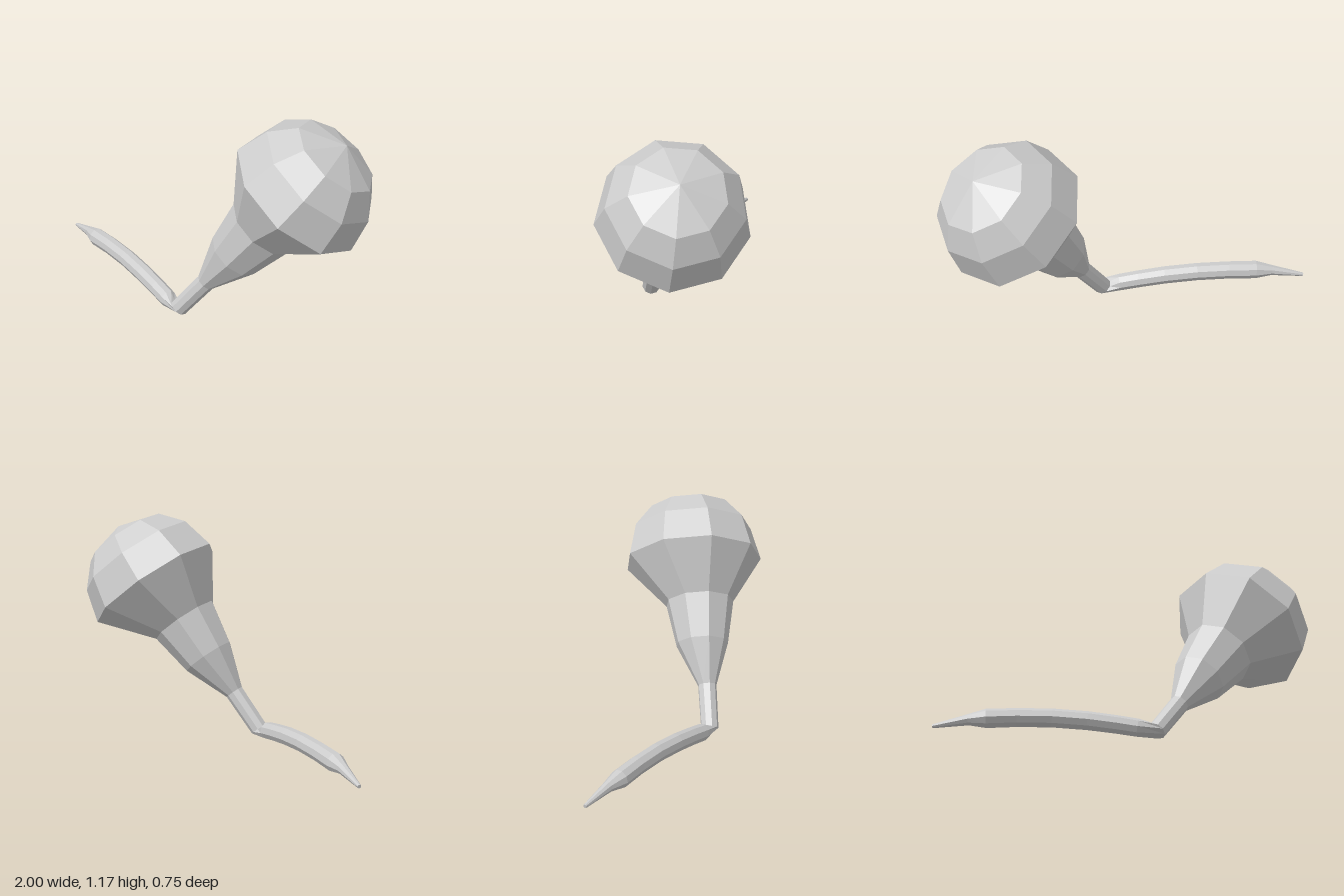
import * as THREE from 'three';

const SIDES = 9;
const V = (x, y, z) => new THREE.Vector3(x, y, z);
const material = new THREE.MeshStandardMaterial({ color: 0xcccccc, flatShading: true });

// Nine-sided ring around a centre; its first vertex lies on the side nearest "toward".
function ring(centre, normal, toward, radius) {
  const n = normal.clone().normalize();
  const u = toward.clone().addScaledVector(n, -toward.dot(n)).normalize();
  const v = n.clone().cross(u);
  return Array.from({ length: SIDES }, (_, j) => {
    const a = (j / SIDES) * Math.PI * 2;
    return centre.clone()
      .addScaledVector(u, radius * Math.cos(a))
      .addScaledVector(v, radius * Math.sin(a));
  });
}

// Skin consecutive rings; rings of zero radius become fans.
function loft(name, rings) {
  const pos = [];
  const tri = (a, b, c) => {
    const area = b.clone().sub(a).cross(c.clone().sub(a)).length();
    if (area > 1e-9) for (const p of [a, b, c]) pos.push(p.x, p.y, p.z);
  };
  for (let i = 0; i < rings.length - 1; i++) {
    for (let j = 0; j < SIDES; j++) {
      const k = (j + 1) % SIDES;
      const lo = rings[i], hi = rings[i + 1];
      tri(lo[j], lo[k], hi[k]);
      tri(lo[j], hi[k], hi[j]);
    }
  }
  const geometry = new THREE.BufferGeometry();
  geometry.setAttribute('position', new THREE.Float32BufferAttribute(pos, 3));
  geometry.computeVertexNormals();
  const mesh = new THREE.Mesh(geometry, material);
  mesh.name = name;
  return mesh;
}

export function createModel() {
  const group = new THREE.Group();
  group.name = 'bulbWithRoot';

  // Leaning axis of the bulb, and its underside direction
  const axis = V(0.605, 0.786, -0.126).normalize();
  const under = V(0.301, -0.242, 0);
  const joint = ring(V(0.015, 0.04, 0.16), axis, under, 0.048);

  // Root: arched tube, pinched to a thin tip: [x, y, z, radius]
  const path = [
    [-0.995, 0.055, -0.342, 0],
    [-0.995, 0.055, -0.342, 0.01],
    [-0.84, 0.088, -0.255, 0.029],
    [-0.76, 0.094, -0.21, 0.05],
    [-0.62, 0.102, -0.145, 0.049],
    [-0.46, 0.102, -0.068, 0.049],
    [-0.3, 0.089, 0.012, 0.049],
    [-0.17, 0.07, 0.077, 0.048],
    [-0.075, 0.053, 0.125, 0.047],
  ];
  const rootRings = path.map(([x, y, z, r], i) => {
    const a = path[Math.max(i - 1, 0)], b = path[Math.min(i + 1, path.length - 1)];
    const along = i < 2 ? V(0.155, 0.033, 0.087) : V(b[0] - a[0], b[1] - a[1], b[2] - a[2]);
    return ring(V(x, y, z), along, V(0, -1, 0), r);
  });
  group.add(loft('root', [...rootRings, joint]));

  // Neck: flares in steps from the joint up to the rim of the dome
  const R = 0.386;
  const centre = V(0.619, 0.797, 0);
  const rim = ring(centre, axis, under, R);
  group.add(loft('neck', [
    joint,
    ring(V(0.165, 0.228, 0.13), axis, under, 0.051),
    ring(V(0.31, 0.415, 0.085), axis, under, 0.145),
    ring(V(0.455, 0.605, 0.055), axis, under, 0.19),
    rim,
  ]));

  // Dome: hemisphere facets closing on one apex
  const dome = [28, 52, 90].map((deg) => {
    const t = THREE.MathUtils.degToRad(deg);
    const c = centre.clone().addScaledVector(axis, R * Math.sin(t));
    return ring(c, axis, under, deg === 90 ? 0 : R * Math.cos(t));
  });
  group.add(loft('dome', [rim, ...dome]));

  return group;
}
